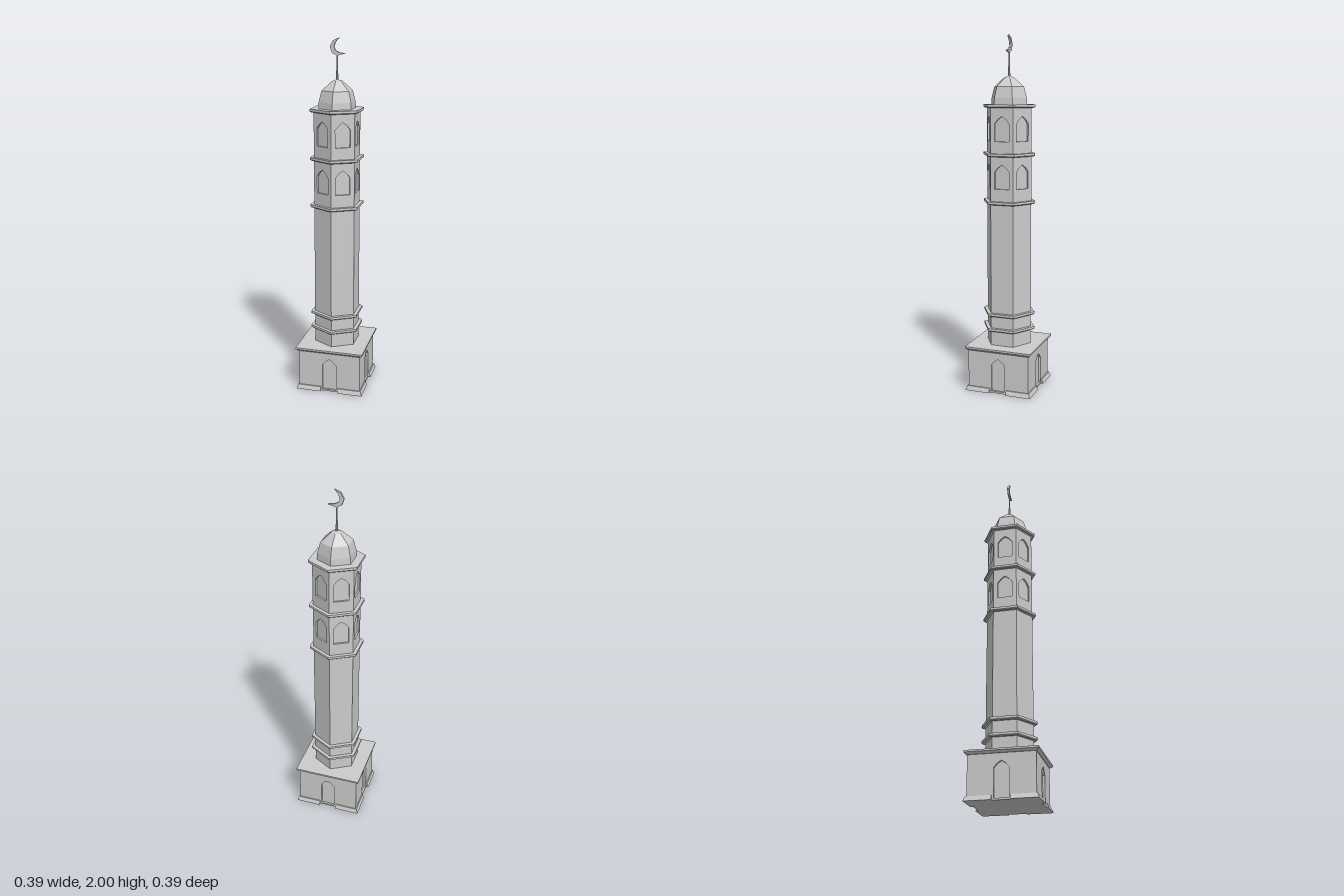
import * as THREE from 'three';

const material = new THREE.MeshStandardMaterial({ color: 0xcccccc, flatShading: true });

function add(parent, name, geometry) {
  const mesh = new THREE.Mesh(geometry, material);
  mesh.name = name;
  parent.add(mesh);
  return mesh;
}

// Regular prism or frustum; sizes are distances from the axis to the flat sides
function prism(sides, bottom, top, y0, y1) {
  const k = 1 / Math.cos(Math.PI / sides);
  const start = sides === 4 ? Math.PI / 4 : 0;
  return new THREE.CylinderGeometry(top * k, bottom * k, y1 - y0, sides, 1, false, start)
    .translate(0, (y0 + y1) / 2, 0);
}

// Pointed arch opening
function arch(halfWidth, y0, shoulder, peak) {
  const mid = shoulder + (peak - shoulder) * 0.6;
  const path = new THREE.Path();
  path.moveTo(-halfWidth, y0);
  path.lineTo(-halfWidth, shoulder);
  path.lineTo(-halfWidth * 0.55, mid);
  path.lineTo(0, peak);
  path.lineTo(halfWidth * 0.55, mid);
  path.lineTo(halfWidth, shoulder);
  path.lineTo(halfWidth, y0);
  path.closePath();
  return path;
}

// Wall slab with arched openings, its outer face at the given distance from the axis
function wall(sides, distance, y0, y1, depth, openings) {
  const w = distance * Math.tan(Math.PI / sides);
  const shape = new THREE.Shape([
    new THREE.Vector2(-w, y0), new THREE.Vector2(w, y0),
    new THREE.Vector2(w, y1), new THREE.Vector2(-w, y1),
  ]);
  shape.holes.push(...openings);
  return new THREE.ExtrudeGeometry(shape, { depth, bevelEnabled: false })
    .translate(0, 0, distance - depth);
}

export function createModel() {
  const model = new THREE.Group();
  model.name = 'minaret';

  // Square base with a recessed door on every side
  const base = new THREE.Group();
  base.name = 'base';
  model.add(base);
  add(base, 'baseCore', prism(4, 0.168, 0.168, 0, 0.25));
  const doorWall = wall(4, 0.18, 0, 0.25, 0.012, [arch(0.04, 0.01, 0.165, 0.2)]);

  // Sloped plinth block for one corner, leaving gaps at the doors
  const plinth = new THREE.BoxGeometry(0.145, 0.025, 0.145).translate(0.1225, 0.0125, 0.1225);
  const p = plinth.attributes.position;
  for (let i = 0; i < p.count; i++) {
    if (p.getY(i) < 0.02) continue;
    if (p.getX(i) > 0.1) p.setX(i, 0.186);
    if (p.getZ(i) > 0.1) p.setZ(i, 0.186);
  }
  for (let i = 0; i < 4; i++) {
    add(base, 'doorWall', doorWall).rotation.y = i * Math.PI / 2;
    add(base, 'plinthCorner', plinth).rotation.y = i * Math.PI / 2;
  }
  add(base, 'baseCorniceSlope', prism(4, 0.183, 0.196, 0.238, 0.25));
  add(base, 'baseCorniceTop', prism(4, 0.196, 0.196, 0.25, 0.26));

  // Hexagonal shaft, with two storeys of recessed windows above
  const apothem = 0.115, depth = 0.01;
  add(model, 'shaft', prism(6, apothem, apothem, 0.26, 1.08));
  add(model, 'windowCore', prism(6, apothem - depth, apothem - depth, 1.08, 1.61));
  const windowWall = wall(6, apothem, 1.08, 1.61, depth, [
    arch(0.042, 1.16, 1.255, 1.295),
    arch(0.042, 1.423, 1.52, 1.56),
  ]);
  for (let i = 0; i < 6; i++) {
    add(model, 'windowWall', windowWall).rotation.y = Math.PI / 6 + i * Math.PI / 3;
  }

  // Projecting bands
  for (const y of [0.352, 0.44, 1.081, 1.348, 1.615]) {
    add(model, 'band', prism(6, 0.128, 0.134, y - 0.009, y - 0.004));
    add(model, 'band', prism(6, 0.134, 0.134, y - 0.004, y + 0.009));
  }

  // Faceted dome
  const domeProfile = [[0.107, 1.62], [0.104, 1.66], [0.088, 1.72], [0.03, 1.77], [0, 1.78]]
    .map(([r, y]) => new THREE.Vector2(r, y));
  add(model, 'dome', new THREE.LatheGeometry(domeProfile, 6));

  // Finial pole and crescent
  add(model, 'poleSocket', new THREE.CylinderGeometry(0.005, 0.008, 0.06, 8).translate(0, 1.8, 0));
  add(model, 'pole', new THREE.CylinderGeometry(0.004, 0.004, 0.09, 8).translate(0, 1.87, 0));
  const crescent = new THREE.Shape([
    [0.012, 2], [-0.022, 1.985], [-0.04, 1.952], [-0.027, 1.918], [0.003, 1.905], [0.046, 1.917],
    [0.014, 1.922], [-0.008, 1.932], [-0.017, 1.952], [-0.009, 1.976],
  ].map(([x, y]) => new THREE.Vector2(x, y)));
  add(model, 'crescent', new THREE.ExtrudeGeometry(crescent, { depth: 0.012, bevelEnabled: false })
    .translate(0, 0, -0.006));

  return model;
}
